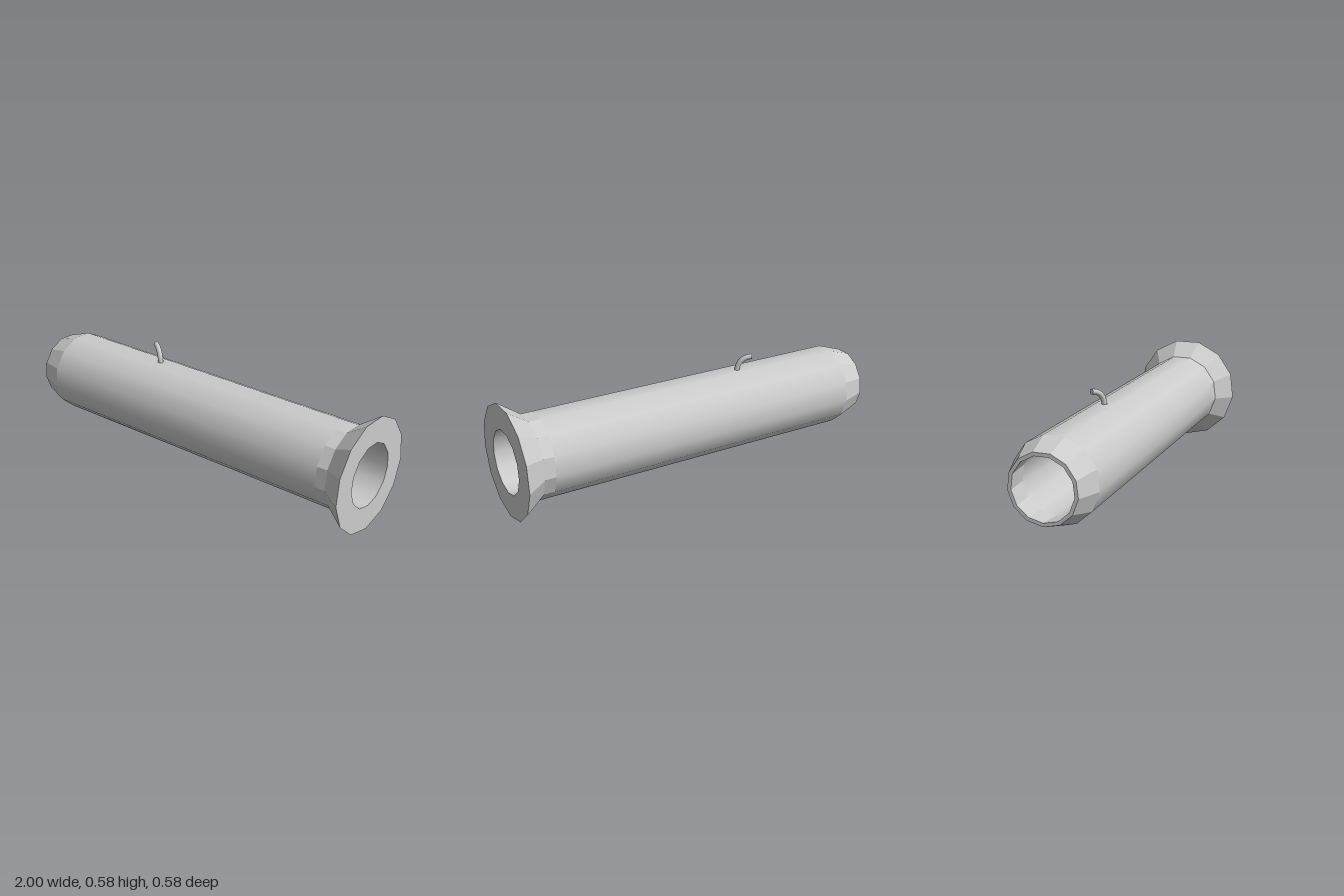
import * as THREE from 'three';

const SIDES = 13;
const AXIS_Y = 0.29;

// Turned part along the x axis; profile entries are [x, radius], one corner pointing down
function turned(name, profile, material) {
  const points = profile.map(([x, r]) => new THREE.Vector2(r, x));
  const geometry = new THREE.LatheGeometry(points, SIDES, Math.PI / 2);
  geometry.rotateZ(-Math.PI / 2);
  const mesh = new THREE.Mesh(geometry, material);
  mesh.name = name;
  mesh.position.y = AXIS_Y;
  return mesh;
}

export function createModel() {
  const group = new THREE.Group();
  group.name = 'flaredTube';
  const smooth = new THREE.MeshStandardMaterial({ color: 0xcccccc });
  const flat = new THREE.MeshStandardMaterial({ color: 0xcccccc, flatShading: true });

  // Smooth outer wall and bore
  group.add(turned('outerWall', [[-0.87, 0.213], [0.835, 0.213]], smooth));
  group.add(turned('bore', [[1, 0.162], [-0.87, 0.162]], smooth));

  // Faceted flare with its flat end ring
  group.add(turned('flare', [[0.835, 0.213], [0.89, 0.213], [1, 0.29], [1, 0.162]], flat));

  // Faceted tapered nose, inside to outside
  group.add(turned('taperedNose', [[-0.87, 0.162], [-1, 0.152], [-1, 0.17], [-0.87, 0.213]], flat));

  // Small curved hook rising from the wall
  const hook = new THREE.Group();
  hook.name = 'hook';
  const path = new THREE.CubicBezierCurve3(
    new THREE.Vector3(-0.288, 0.48, -0.006),
    new THREE.Vector3(-0.288, 0.54, -0.006),
    new THREE.Vector3(-0.315, 0.566, -0.023),
    new THREE.Vector3(-0.354, 0.57, -0.046)
  );
  const radius = 0.014;
  const rod = new THREE.Mesh(new THREE.TubeGeometry(path, 12, radius, 10), smooth);
  rod.name = 'hookRod';
  const tip = new THREE.Mesh(new THREE.CircleGeometry(radius, 10), smooth);
  tip.name = 'hookTip';
  tip.position.copy(path.getPoint(1));
  tip.quaternion.setFromUnitVectors(new THREE.Vector3(0, 0, 1), path.getTangent(1));
  hook.add(rod, tip);
  group.add(hook);

  return group;
}
